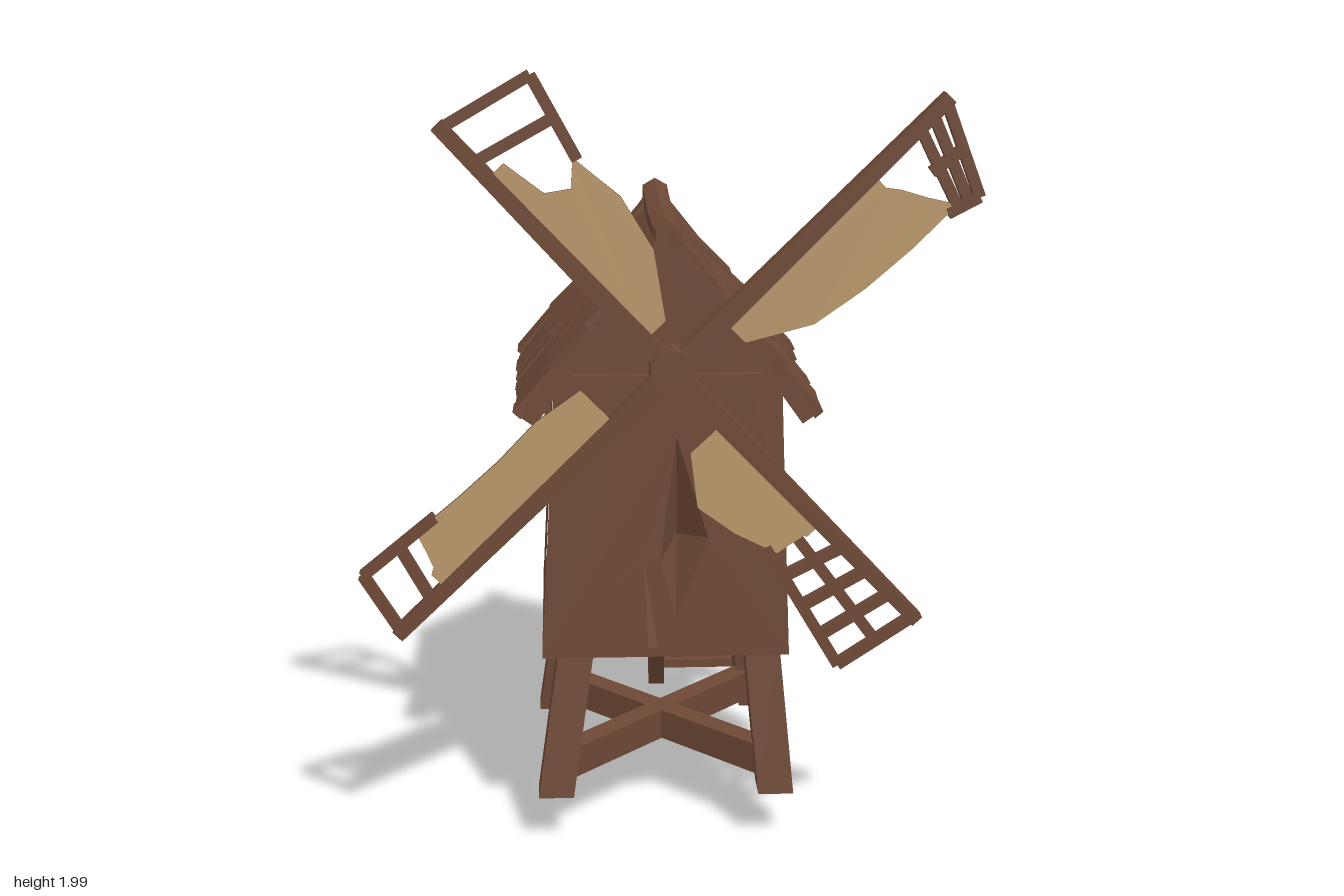
import * as THREE from 'three';

export function createModel() {
  const model = new THREE.Group();
  const wood = new THREE.MeshStandardMaterial({ color: 0x6e4936 });
  wood.name = 'brown wood';
  const cloth = new THREE.MeshStandardMaterial({ color: 0xb8976a });
  cloth.name = 'tan canvas';

  const { lerp } = THREE.MathUtils;
  let seed = 7;
  const rnd = (a) => {
    seed = (seed * 16807) % 2147483647;
    return (seed / 2147483647 - 0.5) * 2 * a;
  };
  const group = (name, parent = model) => {
    const g = new THREE.Group();
    g.name = name;
    parent.add(g);
    return g;
  };
  const add = (name, geo, parent, mat = wood) => {
    const m = new THREE.Mesh(geo, mat);
    m.name = name;
    parent.add(m);
    return m;
  };
  // Move every vertex by a rule
  const warp = (geo, rule) => {
    const p = geo.attributes.position, v = new THREE.Vector3();
    for (let i = 0; i < p.count; i++) {
      rule(v.fromBufferAttribute(p, i));
      p.setXYZ(i, v.x, v.y, v.z);
    }
    geo.computeVertexNormals();
    return geo;
  };
  const vectors = (pts) => pts.map(([x, y]) => new THREE.Vector2(x, y));
  // Straight beam from a to b
  const beam = (name, a, b, w, d, parent) => {
    const A = new THREE.Vector3(...a), B = new THREE.Vector3(...b);
    const m = add(name, new THREE.BoxGeometry(w, d, A.distanceTo(B)), parent);
    m.position.lerpVectors(A, B, 0.5);
    m.quaternion.setFromRotationMatrix(new THREE.Matrix4().lookAt(B, A, m.up));
    return m;
  };
  // Faceted rod along z
  const rod = (r, len, sides, steps = 1) => {
    const g = new THREE.CylinderGeometry(r, r, len, sides, steps).toNonIndexed().rotateX(Math.PI / 2);
    g.computeVertexNormals();
    return g;
  };

  // Legs: leaning posts with level feet, and two crossed braces
  const legs = group('legs');
  for (const [bx, tx] of [[-0.275, -0.215], [0.29, 0.25]])
    for (const [bz, tz] of [[0.475, 0.43], [-0.115, -0.075]])
      add('leg', warp(new THREE.BoxGeometry(0.09, 1, 0.09), (v) => {
        const t = v.y + 0.5;
        v.set(v.x + lerp(bx, tx, t), lerp(0.14, 0.56, t), v.z + lerp(bz, tz, t));
      }), legs);
  for (const s of [1, -1])
    beam('crossBrace', [0.01 - s * 0.27, 0.213, 0.46], [0.01 + s * 0.27, 0.213, -0.1], 0.06, 0.08, legs);

  // House walls: tapered panels with splintered gaps
  const house = group('house');
  const up = (y) => Math.min((y - 0.53) / 0.67, 1);
  const xL = (y) => lerp(-0.305, -0.27, up(y)), xR = (y) => lerp(0.315, 0.29, up(y));
  const zF = (y) => lerp(0.54, 0.53, up(y)), zB = (y) => lerp(-0.165, -0.15, up(y));
  const wall = (name, pts, holes, rule) => {
    const s = new THREE.Shape(vectors(pts));
    s.holes = holes.map((h) => new THREE.Path(vectors(h)));
    add(name, warp(new THREE.ShapeGeometry(s), rule), house);
  };
  const gable = [[-0.305, 0.53], [0.315, 0.53], [0.29, 1.2], [0.01, 1.57], [-0.27, 1.2]];
  const side = [[-0.165, 0.53], [0.54, 0.53], [0.53, 1.24], [-0.15, 1.24]];
  const flip = (pts) => pts.map(([x, y]) => [-x, y]);
  const dent = [[0.03, 1.1], [0.11, 0.84], [0.03, 0.63], [-0.01, 0.78]];
  wall('frontWall', gable, [dent, [[-0.05, 0.78], [-0.015, 0.55], [-0.04, 0.55]]],
    (v) => v.setZ(zF(v.y)));
  wall('backWall', flip(gable), [], (v) => v.set(-v.x, v.y, zB(v.y)));
  wall('leftWall', flip(side), [[[-0.47, 1.04], [-0.425, 0.93], [-0.415, 0.77], [-0.44, 0.78]]],
    (v) => v.set(xR(v.y), v.y, -v.x));
  wall('rightWall', side, [], (v) => v.set(xL(v.y), v.y, v.x));

  // Broken boards pushed in on the front wall
  const dentPos = dent.flatMap(([x, y], i) => {
    const [x2, y2] = dent[(i + 1) % dent.length];
    return [x2, y2, zF(y2), x, y, zF(y), 0.035, 0.83, 0.46];
  });
  const dentGeo = new THREE.BufferGeometry();
  dentGeo.setAttribute('position', new THREE.Float32BufferAttribute(dentPos, 3));
  dentGeo.computeVertexNormals();
  add('brokenBoards', dentGeo, house);

  add('floor', new THREE.BoxGeometry(0.62, 0.02, 0.7), house).position.set(0.005, 0.542, 0.187);
  for (const z of [0.535, -0.155])
    beam('tieBeam', [-0.27, 1.24, z], [0.29, 1.24, z], 0.03, 0.04, house);

  // Side windows: raised frame around a shutter
  for (const x of [0.302, -0.284]) {
    const win = group('window', house);
    win.position.set(x, 1.04, 0.16);
    for (const k of [-1, 1]) {
      beam('windowJamb', [0, -0.1, k * 0.05], [0, 0.1, k * 0.05], 0.02, 0.03, win);
      beam('windowRail', [0, k * 0.09, -0.06], [0, k * 0.09, 0.06], 0.035, 0.024, win);
    }
    add('shutter', new THREE.BoxGeometry(0.012, 0.18, 0.09), win);
  }

  // Roof: sagging rows of uneven shingles over boards, with gable rafters
  const roof = group('roof');
  const sag = (z) => -0.03 * (1 - ((z - 0.19) / 0.37) ** 2);
  const profile = [[0.01, 1.6], [0.1, 1.475], [0.175, 1.39], [0.26, 1.295], [0.345, 1.175]];
  const cols = 8, cw = 0.735 / cols;
  for (const s of [1, -1])
    for (let r = 0; r < 4; r++) {
      const [x0, y0] = profile[r], [x1, y1] = profile[r + 1];
      const len = Math.hypot(x1 - x0, y1 - y0), slope = Math.atan2(y1 - y0, x1 - x0);
      const mx = 0.01 + s * (x0 + x1) / 2, my = (y0 + y1) / 2;
      beam('roofBoard', [mx, my - 0.02, -0.165], [mx, my - 0.02, 0.545], len + 0.01, 0.015, roof)
        .rotation.set(0, 0, s * slope);
      for (let c = 0; c < cols; c++) {
        const z = -0.178 + cw * (c + 0.5);
        const m = add('shingle', new THREE.BoxGeometry(len + 0.035, 0.026, cw + 0.004), roof);
        m.position.set(mx + s * 0.006, my + sag(z) * (1 - r * 0.22) + rnd(0.006), z);
        m.rotation.set(rnd(0.05), rnd(0.03), s * (slope + 0.07 + rnd(0.04)));
      }
      for (const z of [0.548, -0.166])
        beam('gableRafter', [0.01 + s * x0, y0 - 0.025, z], [0.01 + s * x1, y1 - 0.025, z], 0.025, 0.045, roof);
    }
  add('ridgeCap', warp(rod(0.038, 0.74, 6, 8), (v) => {
    const z = v.z + 0.19;
    v.set(v.x + 0.01, v.y + 1.597 + sag(z) * 0.8, z);
  }), roof);

  // Ladder: curved rails narrowing upward, treads and a solid top
  const ladder = group('ladder');
  const path = new THREE.SplineCurve(vectors([[0.612, 0.025], [0.42, 0.31], [0.25, 0.55], [0.175, 0.75], [0.14, 0.94]]));
  const right = (y) => 0.33 - 0.14 * Math.min(y / 0.65, 1) - 0.07 * Math.max(0, (y - 0.65) / 0.3);
  const strip = (name, t0, half, e0, e1) => {
    const upper = [], lower = [];
    for (let i = 0; i <= 12; i++) {
      const t = lerp(t0, 1, i / 12), p = path.getPointAt(t), d = path.getTangentAt(t);
      upper.push([p.x + d.y * half, p.y - d.x * half]);
      lower.unshift([p.x - d.y * half, Math.max(0, p.y + d.x * half)]);
    }
    const g = new THREE.ExtrudeGeometry(new THREE.Shape(vectors([...upper, ...lower])), { depth: e1 - e0, bevelEnabled: false });
    g.translate(0, 0, e0).rotateY(Math.PI / 2);
    add(name, warp(g, (v) => v.setX(lerp(0.01, right(v.y), v.x))), ladder);
  };
  strip('rail', 0, 0.036, 0, 0.15);
  strip('rail', 0, 0.036, 0.85, 1);
  strip('ladderTop', 0.56, 0.028, 0.1, 0.9);
  for (let i = 0; i < 7; i++) {
    const p = path.getPointAt(0.06 + i * 0.078);
    beam('tread', [0.03, p.y + rnd(0.01), -p.x], [right(p.y) - 0.02, p.y + rnd(0.01), -p.x], 0.055, 0.025, ladder);
  }
  for (const [t, x] of [[0.1, 0.1], [0.26, 0.18], [0.42, 0.11]]) {
    const a = path.getPointAt(t), b = path.getPointAt(t + 0.11);
    beam('brokenSlat', [x, a.y, -a.x], [x, b.y, -b.x], 0.03, 0.02, ladder);
  }

  // Sail wheel: hub, axle and four ragged sails
  const wheel = group('sailWheel');
  wheel.position.set(0.015, 1.29, 0.622);
  add('hub', rod(0.057, 0.075, 10), wheel);
  add('axle', rod(0.045, 0.16, 10), wheel).position.z = -0.07;

  // u runs out along the spar, v across it; widths are the canvas widths from u0 to u1,
  // torn back to uSpar beside the spar, and rail is the outer edge of the lattice
  const makeSail = (name, angle, len, { u0, u1, uSpar, widths, tear, rail, rungs, middle, backFrom = u0 }) => {
    const sail = group(name, wheel);
    sail.rotation.z = THREE.MathUtils.degToRad(angle);
    add('spar', warp(new THREE.BoxGeometry(len, 0.05, 0.042), (v) => {
      const u = v.x + len / 2;
      v.set(u, v.y * (1 - 0.35 * u / len), v.z);
    }), sail);
    const bar = (a, b) => beam('sailBar', [a[0], -a[1], 0], [b[0], -b[1], 0], 0.026, 0.026, sail);

    const [a, b] = rail, tip = [len - 0.012, 0];
    const onRail = (t) => [lerp(a[0], b[0], t), lerp(a[1], b[1], t)];
    bar(a, b);
    for (let i = 1; i <= rungs + 1; i++) {
      const t = i / (rungs + 1);
      bar([lerp(a[0] + 0.05, tip[0], t), 0], onRail(t));
    }
    if (middle) bar([a[0] + 0.04, a[1] / 2], [(b[0] + tip[0]) / 2, b[1] / 2]);

    const outline = widths.map((w, i) => [lerp(u0, u1, i / (widths.length - 1)), w]);
    const edge = widths[widths.length - 1];
    outline.push([lerp(u1, uSpar, 0.3) - tear, edge * 0.7], [lerp(u1, uSpar, 0.65) - tear, edge * 0.4], [uSpar, 0.05], [uSpar, 0.01]);
    const sheet = (label, from, mat, z) => {
      const pts = [[from, 0.01], ...outline.filter(([u]) => u >= from)];
      const shape = new THREE.Shape(vectors(pts.map(([u, v]) => [u, -v])));
      add(label, new THREE.ExtrudeGeometry(shape, { depth: 0.008, bevelEnabled: false }), sail, mat).position.z = z;
    };
    sheet('canvas', u0, cloth, 0.004);
    sheet('sailBacking', backFrom, wood, -0.006);
  };
  makeSail('upperLeftSail', 45, 0.91, { u0: 0.17, u1: 0.75, uSpar: 0.66, widths: [0.075, 0.16, 0.185, 0.195, 0.195],
    tear: 0.01, rail: [[0.72, 0.195], [0.8, 0.22]], rungs: 2, middle: true });
  makeSail('lowerLeftSail', -46.6, 0.88, { u0: 0.18, u1: 0.51, uSpar: 0.53, widths: [0.11, 0.19, 0.17, 0.13],
    tear: 0, rail: [[0.48, 0.14], [0.83, 0.22]], rungs: 3, middle: true });
  makeSail('lowerRightSail', 224.4, 0.94, { u0: 0.19, u1: 0.72, uSpar: 0.77, widths: [0.12, 0.14, 0.135, 0.14, 0.15],
    tear: 0, rail: [[0.66, 0.145], [0.89, 0.165]], rungs: 1, middle: false });
  makeSail('upperRightSail', 133, 0.8, { u0: 0.1, u1: 0.53, uSpar: 0.63, widths: [0.07, 0.165, 0.195, 0.175],
    tear: 0.08, rail: [[0.52, 0.18], [0.735, 0.235]], rungs: 1, middle: false, backFrom: 0.24 });
  return model;
}
